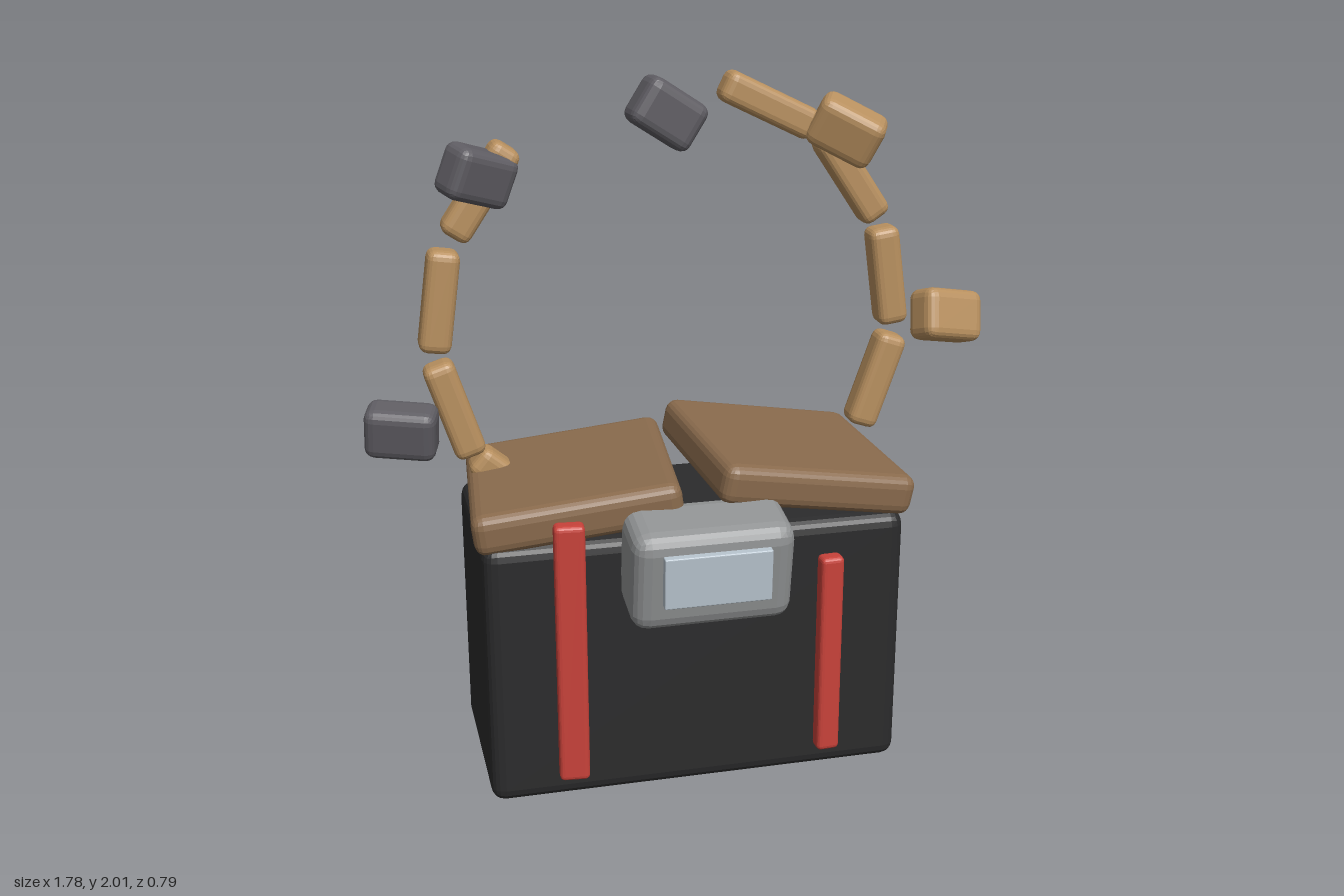
import * as THREE from 'three';
import { RoundedBoxGeometry } from 'three/addons/geometries/RoundedBoxGeometry.js';

const mat = (name, color) => {
  const m = new THREE.MeshStandardMaterial({ color });
  m.name = name;
  return m;
};

export function createModel() {
  const model = new THREE.Group();
  model.name = 'openBox';

  const black = mat('black', 0x2b2b2c);
  const brown = mat('brown', 0x8a6b4d);
  const tan = mat('tan', 0xb8905f);
  const grey = mat('darkGrey', 0x5f5d63);
  const silver = mat('silver', 0x919394);
  const glass = mat('paleBlue', 0xb8c4ce);
  const red = mat('red', 0xc8423a);

  // Faceted box with softened edges; size, position, rotation in degrees
  const block = (name, material, size, pos, rot = [0, 0, 0], radius = 0.02, order = 'XYZ') => {
    const geo = new RoundedBoxGeometry(...size, 2, radius);
    geo.computeVertexNormals();
    const mesh = new THREE.Mesh(geo, material);
    mesh.name = name;
    mesh.position.set(...pos);
    const [x, y, z] = rot.map(THREE.MathUtils.degToRad);
    mesh.rotation.set(x, y, z, order);
    model.add(mesh);
    return mesh;
  };

  // Main case
  block('case', black, [1.215, 0.79, 0.575], [0.003, 0.395, -0.105], [0, 0, 0], 0.04);

  // Two skewed lid halves
  block('rightLid', brown, [0.585, 0.12, 0.57], [-0.315, 0.866, -0.083], [2, -5, 7.5], 0.035);
  block('leftLid', brown, [0.595, 0.12, 0.57], [0.326, 0.896, -0.083], [3, 5.5, -11], 0.035);

  // Clasp with a pale window
  block('clasp', silver, [0.455, 0.3, 0.22], [0.005, 0.728, 0.248], [9, 0, 0], 0.05);
  block('claspWindow', glass, [0.3, 0.15, 0.028], [0.006, 0.735, 0.376], [3, 0, 0], 0.004);

  // Red straps standing in front of the case
  block('rightStrap', red, [0.085, 0.77, 0.052], [-0.382, 0.505, 0.278], [0, -5, 0], 0.014);
  block('leftStrap', red, [0.067, 0.605, 0.052], [0.357, 0.423, 0.278], [0, 3, 0], 0.014);

  // Broken ring of links above the case: x, y, tilt
  const links = [
    [-0.46, 0.835, 50], [-0.627, 1.077, 18], [-0.656, 1.397, -8], [-0.53, 1.7, -34],
    [0.29, 1.908, 64], [0.54, 1.695, 34], [0.66, 1.397, 8], [0.637, 1.077, -19],
  ];
  for (const [x, y, tilt] of links) {
    block('ringLink', tan, [0.092, 0.295, 0.092], [x, y, -0.2], [0, 0, tilt], 0.026);
  }

  // Loose chunks floating around the ring
  const chunks = [
    ['greyChunk', grey, [-0.54, 1.75, -0.165], [10, 25, -18]],
    ['greyChunk', grey, [0.003, 1.89, -0.228], [0, 6, -33]],
    ['greyChunk', grey, [-0.785, 1.062, -0.09], [10, -15, -4]],
    ['tanChunk', tan, [0.505, 1.838, -0.14], [12, -25, -27]],
    ['tanChunk', tan, [0.782, 1.312, -0.02], [-18, 20, -12]],
  ];
  for (const [name, material, pos, rot] of chunks) {
    block(name, material, [0.2, 0.148, 0.112], pos, rot, 0.03, 'YXZ');
  }

  return model;
}
